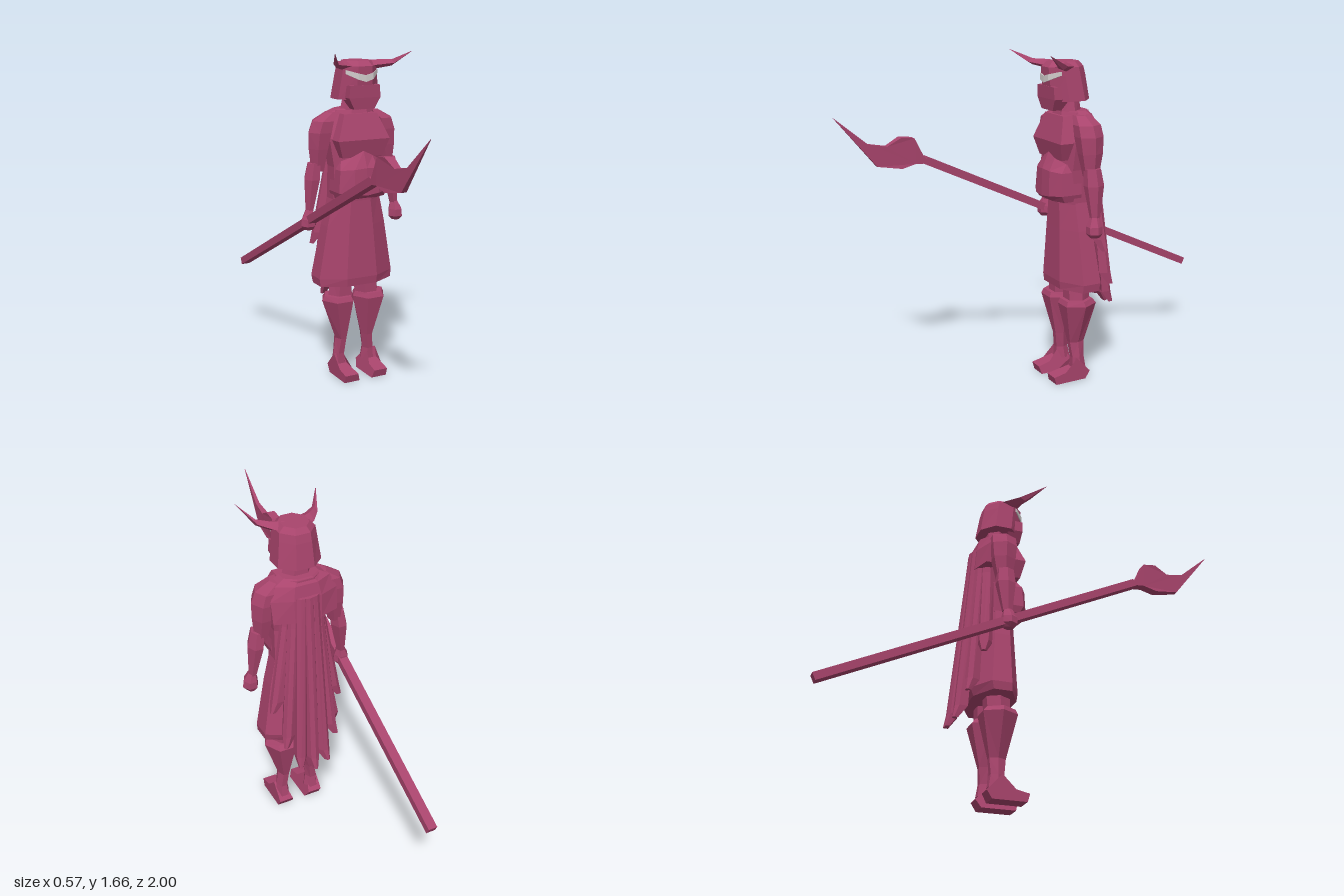
import * as THREE from 'three';

const maroon = new THREE.MeshStandardMaterial({ color: 0xa8446c });
maroon.name = 'maroon';
const pale = new THREE.MeshStandardMaterial({ color: 0xd2cccc });
pale.name = 'pale visor';
maroon.flatShading = true;

// Signed volume tells whether the faces point outwards
function volume(tris) {
  const a = new THREE.Vector3(), b = new THREE.Vector3(), c = new THREE.Vector3();
  return tris.reduce((v, t) => v + a.set(...t[0]).dot(b.set(...t[1]).cross(c.set(...t[2]))), 0);
}

// Faceted solid through loops of points, with closed ends
function loft(rings) {
  const tris = [], n = rings[0].length;
  for (let i = 0; i < rings.length - 1; i++) {
    for (let j = 0; j < n; j++) {
      const k = (j + 1) % n;
      const [a, b, c, d] = [rings[i][j], rings[i][k], rings[i + 1][k], rings[i + 1][j]];
      tris.push([a, b, c], [a, c, d]);
    }
  }
  const last = rings[rings.length - 1];
  for (let j = 1; j < n - 1; j++) {
    tris.push([rings[0][0], rings[0][j + 1], rings[0][j]], [last[0], last[j], last[j + 1]]);
  }
  if (volume(tris) < 0) tris.forEach(t => t.reverse());
  const g = new THREE.BufferGeometry();
  g.setAttribute('position', new THREE.Float32BufferAttribute(tris.flat(2), 3));
  g.computeVertexNormals();
  return g;
}

// Horizontal n-sided loop filling the extents x0..x1, z0..z1 at height y
function loop([y, x0, x1, z0, z1], n = 8) {
  const s = 1 / Math.cos(Math.PI / n);
  return Array.from({ length: n }, (_, i) => {
    const a = (i + 0.5) / n * Math.PI * 2;
    return [(x0 + x1) / 2 + Math.sin(a) * s * (x1 - x0) / 2, y, (z0 + z1) / 2 + Math.cos(a) * s * (z1 - z0) / 2];
  });
}
const stack = (rows, n) => loft(rows.map(r => loop(r, n)));
const mirrorRow = (side, [y, a, b, c, d]) => [y, side * a, side * b, c, d];

export function createModel() {
  const model = new THREE.Group();
  const add = (name, geometry, material = maroon) => {
    const m = new THREE.Mesh(geometry, material);
    m.name = name;
    model.add(m);
    return m;
  };

  // Helmet, chin guard and neck
  add('helmet', stack([
    [1.43, -0.11, 0.11, -0.19, 0.015], [1.55, -0.095, 0.095, -0.17, 0.028],
    [1.59, -0.09, 0.09, -0.16, 0.03], [1.615, -0.065, 0.065, -0.14, 0.005]]));
  add('chinGuard', stack([
    [1.385, -0.055, 0.055, -0.03, 0.018], [1.44, -0.085, 0.085, -0.06, 0.024],
    [1.5, -0.08, 0.08, -0.06, 0.026]], 4));
  add('neck', stack([[1.35, -0.07, 0.07, -0.15, -0.04], [1.45, -0.05, 0.05, -0.14, -0.05]], 6));

  // Eye slit wrapped round the front of the helmet: x, bottom, top, z
  const slit = [[-0.086, 1.553, 1.572, -0.008], [-0.04, 1.528, 1.558, 0.035], [0, 1.516, 1.548, 0.038],
    [0.04, 1.528, 1.558, 0.035], [0.086, 1.553, 1.572, -0.008]];
  add('eyeSlit', loft(slit.map(([x, b, t, z]) => [[x, b, z], [x, t, z], [x, t, z - 0.006], [x, b, z - 0.006]])), pale);

  // Torso, chest plate and belly plate
  add('torso', stack([
    [0.93, -0.13, 0.13, -0.19, -0.01], [1.1, -0.13, 0.13, -0.18, 0],
    [1.24, -0.15, 0.15, -0.2, 0], [1.375, -0.1, 0.1, -0.19, -0.04]]));
  add('chestPlate', stack([
    [1.15, -0.11, 0.11, -0.1, 0], [1.235, -0.14, 0.14, -0.1, 0.02],
    [1.36, -0.09, 0.09, -0.12, -0.02]], 4));
  add('bellyPlate', loft([
    [0.945, 0.95, 0.125, 0.03], [0.98, 0.965, 0.135, 0.05], [1.09, 1.1, 0.125, 0.045], [1.13, 1.18, 0.105, 0.01]
  ].map(([ySide, yMid, x, z]) => [[-x, ySide, -0.1], [-x, ySide, z - 0.04], [-x / 2, (ySide + yMid) / 2, z - 0.005],
    [0, yMid, z], [x / 2, (ySide + yMid) / 2, z - 0.005], [x, ySide, z - 0.04], [x, ySide, -0.1]])));

  // Flared skirt
  add('skirt', stack([
    [0.495, -0.2, 0.2, -0.225, -0.01], [0.535, -0.205, 0.205, -0.24, -0.005],
    [0.8, -0.16, 0.16, -0.2, -0.015], [0.96, -0.125, 0.125, -0.18, -0.02]]));

  for (const side of [1, -1]) {
    const label = side > 0 ? 'left' : 'right';
    const limb = (name, rows, n) => add(label + name, stack(rows.map(r => mirrorRow(side, r)), n));

    // Horn sweeping out and forward: x, y, z, half height, half depth
    const horn = [[0.03, 1.59, -0.06, 0.025, 0.06], [0.1, 1.595, -0.03, 0.021, 0.045],
      [0.15, 1.602, 0.015, 0.015, 0.028], [0.205, 1.66, 0.112, 0.001, 0.001]];
    add(label + 'Horn', loft(horn.map(([x, y, z, h, d]) =>
      [[side * x, y + h, z], [side * x, y, z + d], [side * x, y - h, z], [side * x, y, z - d]])));

    // Arm and hand
    limb('UpperArm', [
      [1.08, 0.165, 0.22, -0.15, -0.08], [1.19, 0.14, 0.23, -0.17, -0.06],
      [1.27, 0.12, 0.23, -0.175, -0.05], [1.325, 0.11, 0.21, -0.17, -0.05],
      [1.365, 0.08, 0.14, -0.15, -0.07]], 6);
    limb('Forearm', [
      [0.88, 0.222, 0.256, -0.135, -0.09], [1.04, 0.185, 0.257, -0.16, -0.07],
      [1.12, 0.18, 0.24, -0.15, -0.075]], 6);
    limb('Hand', [
      [0.79, 0.23, 0.265, -0.13, -0.085], [0.81, 0.213, 0.282, -0.14, -0.07],
      [0.845, 0.215, 0.278, -0.14, -0.07], [0.89, 0.226, 0.256, -0.13, -0.09]], 6);

    // Thigh, greave with flared knee, and boot
    limb('Thigh', [[0.4, 0.02, 0.135, -0.16, -0.05], [0.56, 0.01, 0.12, -0.17, -0.05]], 6);
    limb('Greave', [
      [0.06, 0.05, 0.115, -0.15, -0.075], [0.12, 0.058, 0.11, -0.14, -0.075],
      [0.2, 0.05, 0.1, -0.145, -0.065], [0.41, 0.01, 0.165, -0.19, -0.02],
      [0.435, 0.02, 0.155, -0.17, -0.03]], 6);
    const boot = [[0.03, 0], [0.042, 0.04], [-0.075, 0.065], [-0.09, 0.12], [-0.165, 0.04], [-0.14, 0]];
    add(label + 'Boot', loft([0.035, 0.12].map((x, i) =>
      boot.map(([z, y]) => [side * (i ? x : x + y * 0.3), y, z]))));
  }

  // Cape mantle over the shoulders
  add('capeMantle', stack([
    [1.18, -0.165, 0.165, -0.225, -0.12], [1.29, -0.17, 0.17, -0.215, -0.08],
    [1.355, -0.14, 0.14, -0.2, -0.06], [1.38, -0.09, 0.09, -0.18, -0.06]]));

  // Cape folds fanned round the back, longest in the middle
  const hems = [0.36, 0.38, 0.5, 0.69];
  for (let i = -3; i <= 3; i++) {
    const a = i * 0.38, s = Math.sin(a), c = Math.cos(a), hem = hems[Math.abs(i)];
    const rings = [[1.3, 0.11, 0.03, 0.02], [1.15, 0.125, 0.033, 0.03], [hem + 0.06, 0.2, 0.036, 0.05], [hem, 0.212, 0.014, 0.022]];
    add('capeFold', loft(rings.map(([y, r, w, d]) =>
      [[-w, r - d], [-w * 0.6, r - d * 0.2], [0, r], [w * 0.6, r - d * 0.2], [w, r - d]]
        .map(([t, q]) => [q * s + t * c, y, -0.125 - q * c + t * s]))));
  }

  // Spear shaft
  const from = new THREE.Vector3(-0.243, 0.412, -0.99), to = new THREE.Vector3(-0.243, 1.15, 0.56);
  const shaft = add('spearShaft', new THREE.BoxGeometry(0.046, 0.038, from.distanceTo(to)));
  shaft.position.copy(from).add(to).multiplyScalar(0.5);
  shaft.lookAt(to);

  // Curved spear blade, thinning to its point
  const outline = [[0.54, 1.132], [0.61, 1.138], [0.68, 1.12], [0.8, 1.14], [1, 1.387],
    [0.84, 1.25], [0.75, 1.232], [0.68, 1.27], [0.615, 1.262], [0.575, 1.18]];
  const blade = new THREE.ExtrudeGeometry(
    new THREE.Shape(outline.map(p => new THREE.Vector2(...p))), { depth: 1, bevelEnabled: false });
  blade.translate(0, 0, -0.5).rotateY(-Math.PI / 2);
  const pos = blade.attributes.position;
  for (let i = 0; i < pos.count; i++) {
    const z = pos.getZ(i);
    pos.setX(i, pos.getX(i) * (z < 0.7 ? 0.046 : 0.002 + 0.036 * (1 - z) / 0.3));
  }
  blade.computeVertexNormals();
  add('spearBlade', blade).position.x = -0.243;

  return model;
}
